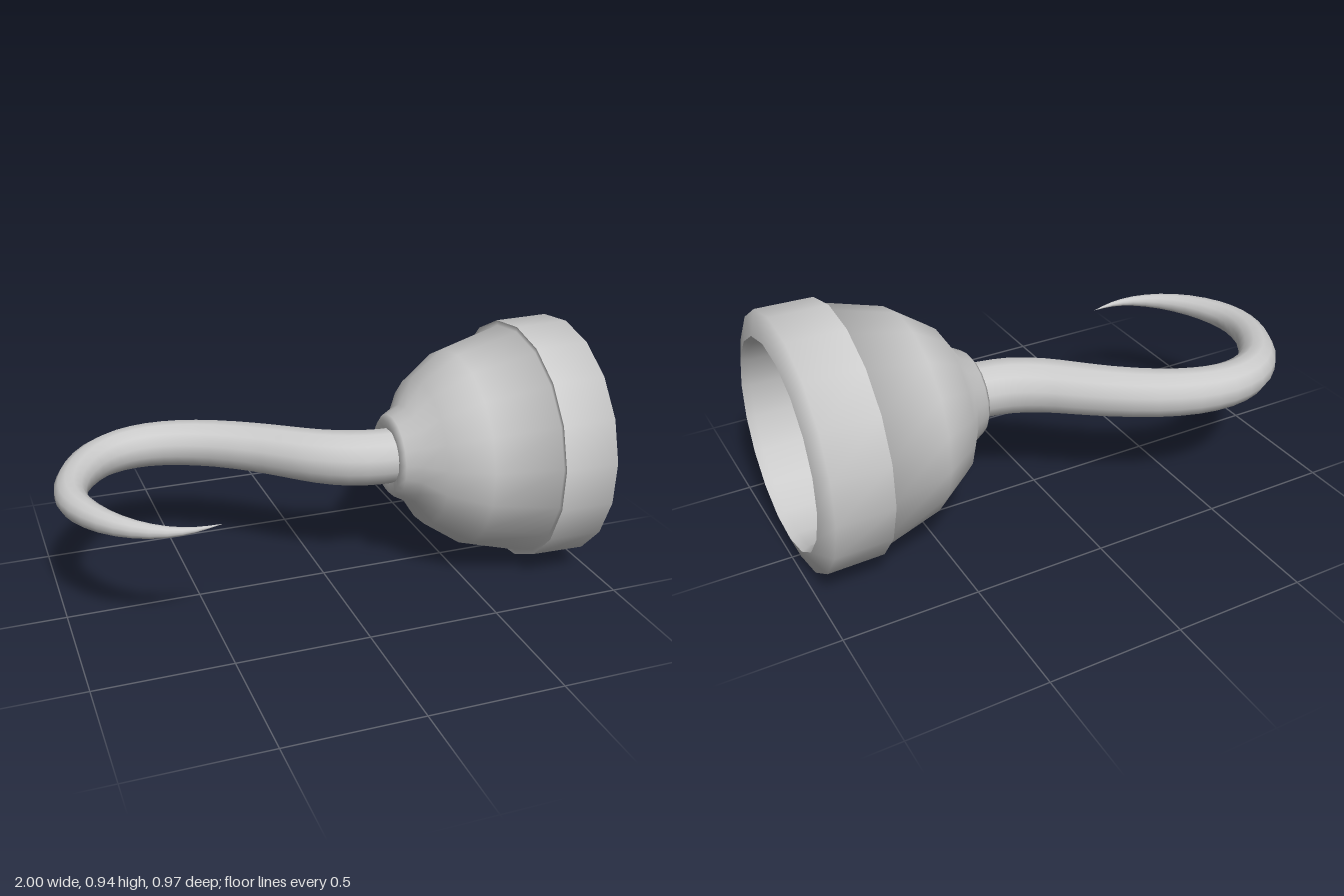
import * as THREE from 'three';
import { toCreasedNormals } from 'three/addons/utils/BufferGeometryUtils.js';

const AXIS_Y = 0.474, AXIS_Z = 0.016;
const material = new THREE.MeshStandardMaterial({ color: 0xcccccc });

// Hollow cup: one closed profile (radius, x) from collar over the rim to the cavity floor
function makeCup() {
  const profile = [
    [0.09, 0.262], [0.14, 0.25], [0.16, 0.265], [0.19, 0.32], [0.285, 0.38], [0.382, 0.52],
    [0.449, 0.76], [0.468, 0.76], [0.472, 0.97], [0.385, 1.0],
    [0.372, 0.97], [0.366, 0.76], [0.31, 0.53], [0.22, 0.42], [0.11, 0.36], [0, 0.345],
  ].map(([r, x]) => new THREE.Vector2(r, x));
  const lathe = new THREE.LatheGeometry(profile, 18, THREE.MathUtils.degToRad(13.3));
  lathe.rotateZ(-Math.PI / 2);
  lathe.deleteAttribute('uv');
  const mesh = new THREE.Mesh(toCreasedNormals(lathe, THREE.MathUtils.degToRad(82)), material);
  mesh.name = 'cup';
  mesh.position.set(0, AXIS_Y, AXIS_Z);
  return mesh;
}

// Tapering hook: a flat curve in x and z, with the radius carried in the y coordinate
function makeHook() {
  const path = new THREE.CatmullRomCurve3([
    [0.34, 0.107, 0.017], [0.22, 0.107, 0.014], [0.11, 0.107, -0.012], [0, 0.104, -0.072],
    [-0.1, 0.1, -0.153], [-0.2, 0.096, -0.234], [-0.34, 0.092, -0.325], [-0.47, 0.089, -0.38],
    [-0.59, 0.085, -0.4], [-0.7, 0.081, -0.382], [-0.805, 0.075, -0.317], [-0.885, 0.068, -0.21],
    [-0.93, 0.062, -0.1], [-0.943, 0.057, 0], [-0.925, 0.052, 0.095], [-0.865, 0.043, 0.213],
    [-0.78, 0.032, 0.305], [-0.68, 0.02, 0.362], [-0.59, 0.01, 0.377], [-0.495, 0.0005, 0.365],
  ].map((p) => new THREE.Vector3(...p)));
  const rings = 38, sides = 12, positions = [], indices = [];
  for (let i = 0; i <= rings; i++) {
    const p = path.getPoint(i / rings);
    const t = path.getTangent(i / rings).setY(0).normalize();
    for (let j = 0; j < sides; j++) {
      const a = ((j + 0.5) / sides) * Math.PI * 2;
      const c = p.y * Math.cos(a), s = p.y * Math.sin(a);
      positions.push(p.x - t.z * c, AXIS_Y + s, p.z + t.x * c);
      if (i === rings) continue;
      const k = i * sides + j, n = i * sides + ((j + 1) % sides);
      indices.push(k, n, k + sides, n, n + sides, k + sides);
    }
  }
  const geometry = new THREE.BufferGeometry();
  geometry.setAttribute('position', new THREE.Float32BufferAttribute(positions, 3));
  // Ring direction: across (-tz, tx) then up, so corners run counter-clockwise from outside
  geometry.setIndex(facesOutward(positions, indices) ? indices : indices.reverse());
  geometry.computeVertexNormals();
  const mesh = new THREE.Mesh(geometry, material);
  mesh.name = 'hook';
  return mesh;
}

// Signed volume of a triangle list tells whether its faces point out
function facesOutward(positions, indices) {
  const at = (i) => new THREE.Vector3().fromArray(positions, i * 3);
  let volume = 0;
  for (let i = 0; i < indices.length; i += 3) {
    volume += at(indices[i]).sub(new THREE.Vector3(0.34, AXIS_Y, 0.017))
      .dot(at(indices[i + 1]).sub(at(indices[i])).cross(at(indices[i + 2]).sub(at(indices[i]))));
  }
  return volume > 0;
}

export function createModel() {
  const group = new THREE.Group();
  group.name = 'hookHand';
  group.add(makeCup(), makeHook());
  return group;
}
